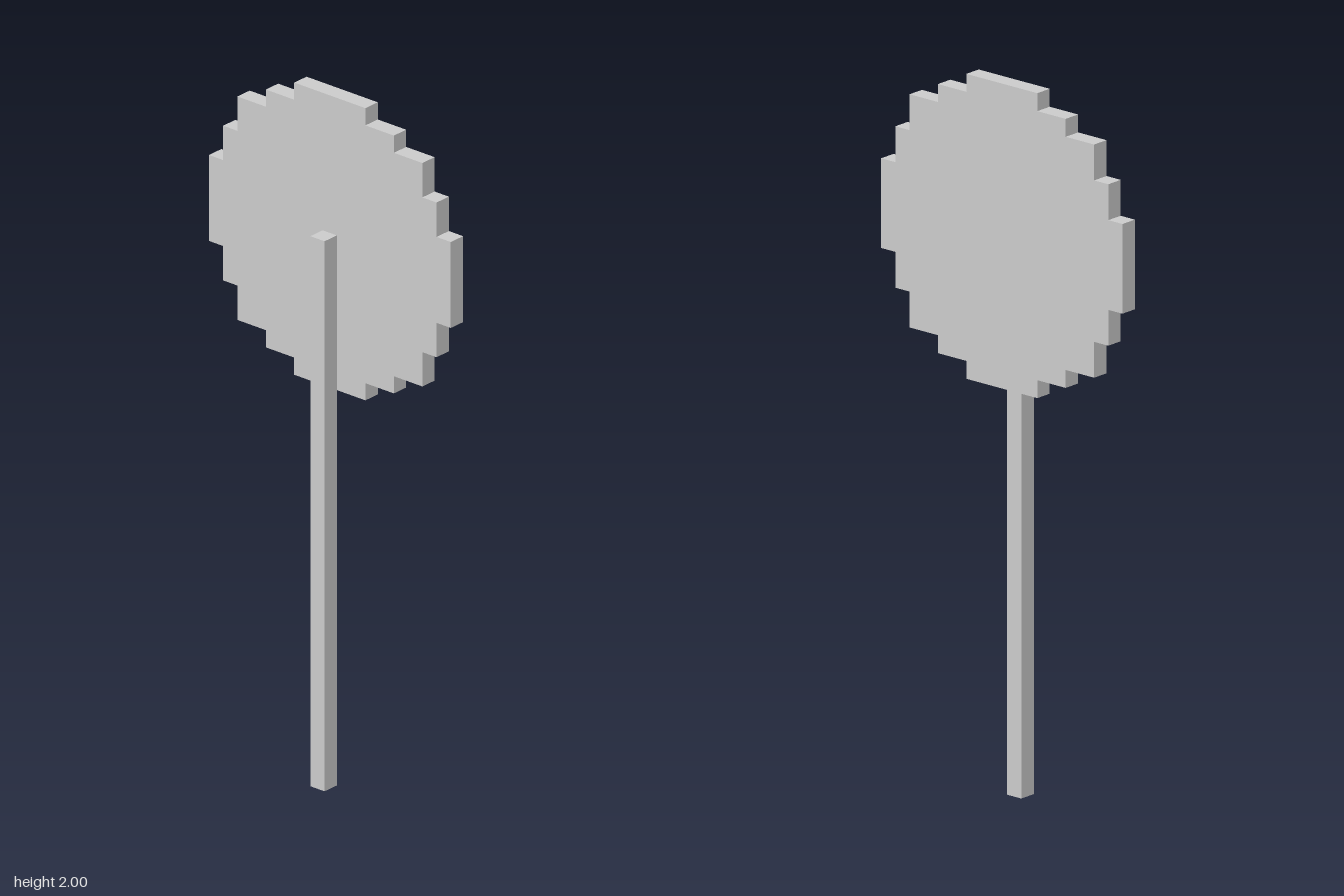
import * as THREE from 'three';

export function createModel() {
  const group = new THREE.Group();
  const material = new THREE.MeshStandardMaterial({ color: 0xcccccc, flatShading: true });
  const thickness = 0.05;

  // Stepped round panel: one quarter of the outline, mirrored into a full loop
  const steps = [0.425, 0.375, 0.325, 0.225, 0.125];
  const quarter = [];
  steps.forEach((width, i) => {
    const height = steps[steps.length - 1 - i];
    if (i > 0) quarter.push([width, steps[steps.length - i]]);
    quarter.push([width, height]);
  });
  const mirror = (points, sx, sy) => points.map(([x, y]) => new THREE.Vector2(x * sx, y * sy));
  const reversed = [...quarter].reverse();
  const outline = [
    ...mirror(quarter, 1, 1),
    ...mirror(reversed, -1, 1),
    ...mirror(quarter, -1, -1),
    ...mirror(reversed, 1, -1),
  ];
  const panelGeometry = new THREE.ExtrudeGeometry(new THREE.Shape(outline), {
    depth: thickness,
    bevelEnabled: false,
  });
  panelGeometry.rotateY(Math.PI / 2);
  const panel = new THREE.Mesh(panelGeometry, material);
  panel.name = 'roundPanel';
  panel.position.y = 1.575;
  group.add(panel);

  // Square post fixed behind the panel
  const postHeight = 1.6;
  const post = new THREE.Mesh(new THREE.BoxGeometry(thickness, postHeight, thickness), material);
  post.name = 'post';
  post.position.set(-thickness / 2, postHeight / 2, 0);
  group.add(post);

  return group;
}
